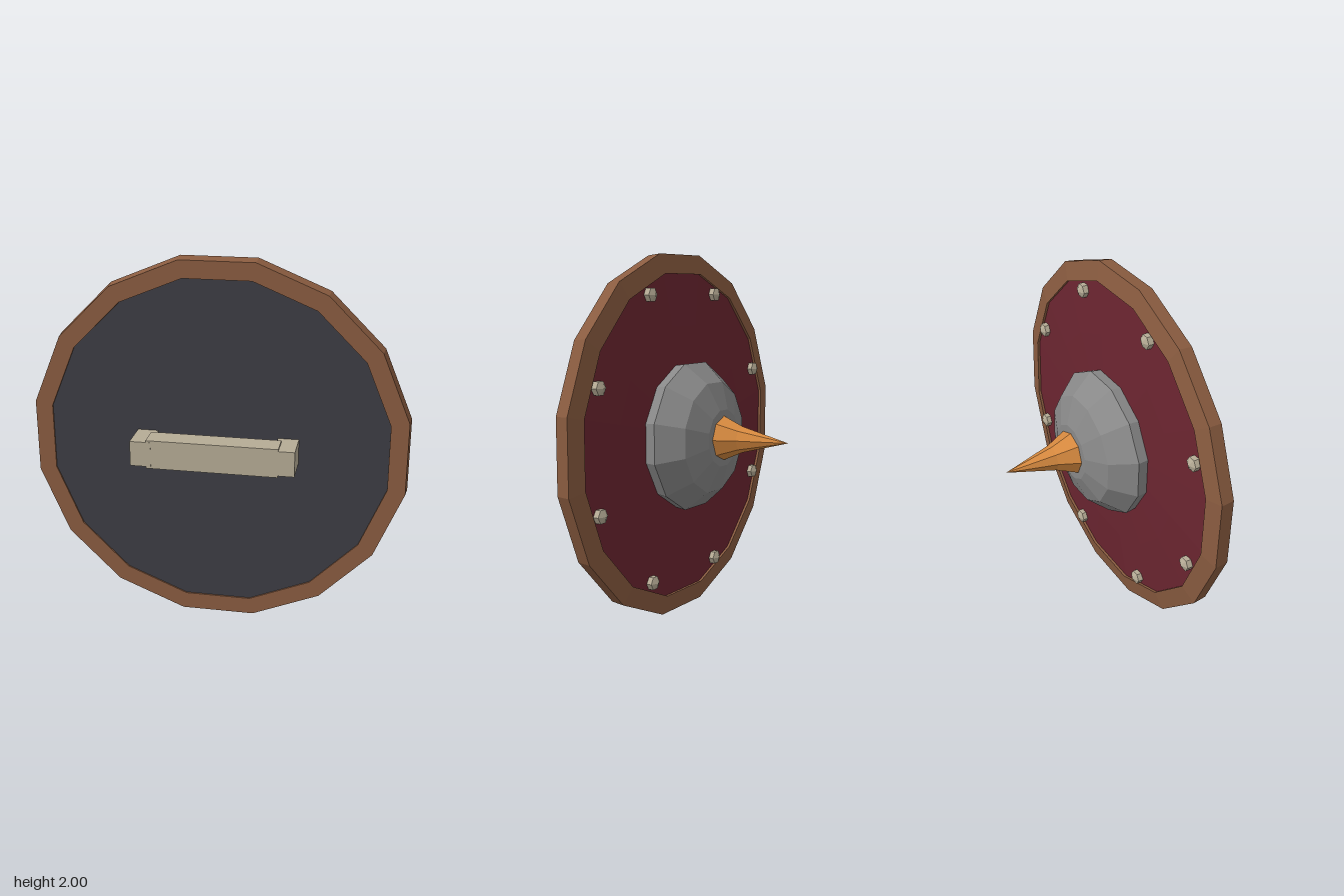
import * as THREE from 'three';

const mat = (name, color, side = THREE.FrontSide) =>
  new THREE.MeshStandardMaterial({ name, color, flatShading: true, side });

export function createModel() {
  const wood = mat('brown wood', 0x8a5c40);
  const lining = mat('dark lining', 0x3d3d44);
  const red = mat('deep red paint', 0x6b2530);
  const steel = mat('grey steel', 0x888888);
  const bronze = mat('orange bronze', 0xd6893f);
  const bone = mat('pale bone', 0xb5ab95);

  const shield = new THREE.Group();
  shield.name = 'shield';

  // Faceted turned part around the z axis; profile is [radius, z], from front to back
  function turned(name, profile, sides, material, turn, x = 0, y = 1) {
    const points = profile.map(([r, z]) => new THREE.Vector2(r, -z));
    const geometry = new THREE.LatheGeometry(points, sides, turn, Math.PI * 2);
    geometry.rotateX(-Math.PI / 2);
    const mesh = new THREE.Mesh(geometry, material);
    mesh.name = name;
    mesh.position.set(x, y, 0);
    shield.add(mesh);
  }

  function box(name, w, h, d, x, z) {
    const mesh = new THREE.Mesh(new THREE.BoxGeometry(w, h, d), bone);
    mesh.name = name;
    mesh.position.set(x, 1.003, z);
    shield.add(mesh);
  }

  // Sixteen-sided rim, inner lining and slightly domed painted face
  const half16 = Math.PI / 16;
  turned('rim', [[0.915, 0.295], [1.01, 0.295], [1.0196, 0.218], [0.912, 0.197], [0.915, 0.295]],
    16, wood, half16);
  turned('lining', [[0, 0.287], [0.925, 0.287]], 16, lining, half16);
  turned('paintedFace', [[0.925, 0.213], [0.62, 0.192], [0.33, 0.178], [0, 0.175]], 16, red, half16);

  // Twelve-sided boss with a flared spike
  turned('boss', [[0.41, 0.19], [0.42, 0.122], [0.312, -0.005], [0.16, -0.063], [0, -0.067]],
    12, steel, Math.PI / 12);
  turned('spike', [[0.124, -0.055], [0.121, -0.068], [0.072, -0.18], [0, -0.46]],
    8, bronze, 0);

  // Ring of pointed studs
  for (let i = 0; i < 8; i++) {
    const a = (i + 0.5) * Math.PI / 4;
    turned('stud', [[0.04, 0.225], [0.04, 0.179], [0, 0.16]], 6, bone, Math.PI / 6,
      0.845 * Math.cos(a), 1 + 0.845 * Math.sin(a));
  }

  // Hand grip: bar carried by two posts
  box('gripBar', 0.69, 0.155, 0.126, 0, 0.401);
  for (const s of [-1, 1]) box('gripPost', 0.11, 0.135, 0.185, s * 0.375, 0.3725);

  return shield;
}
